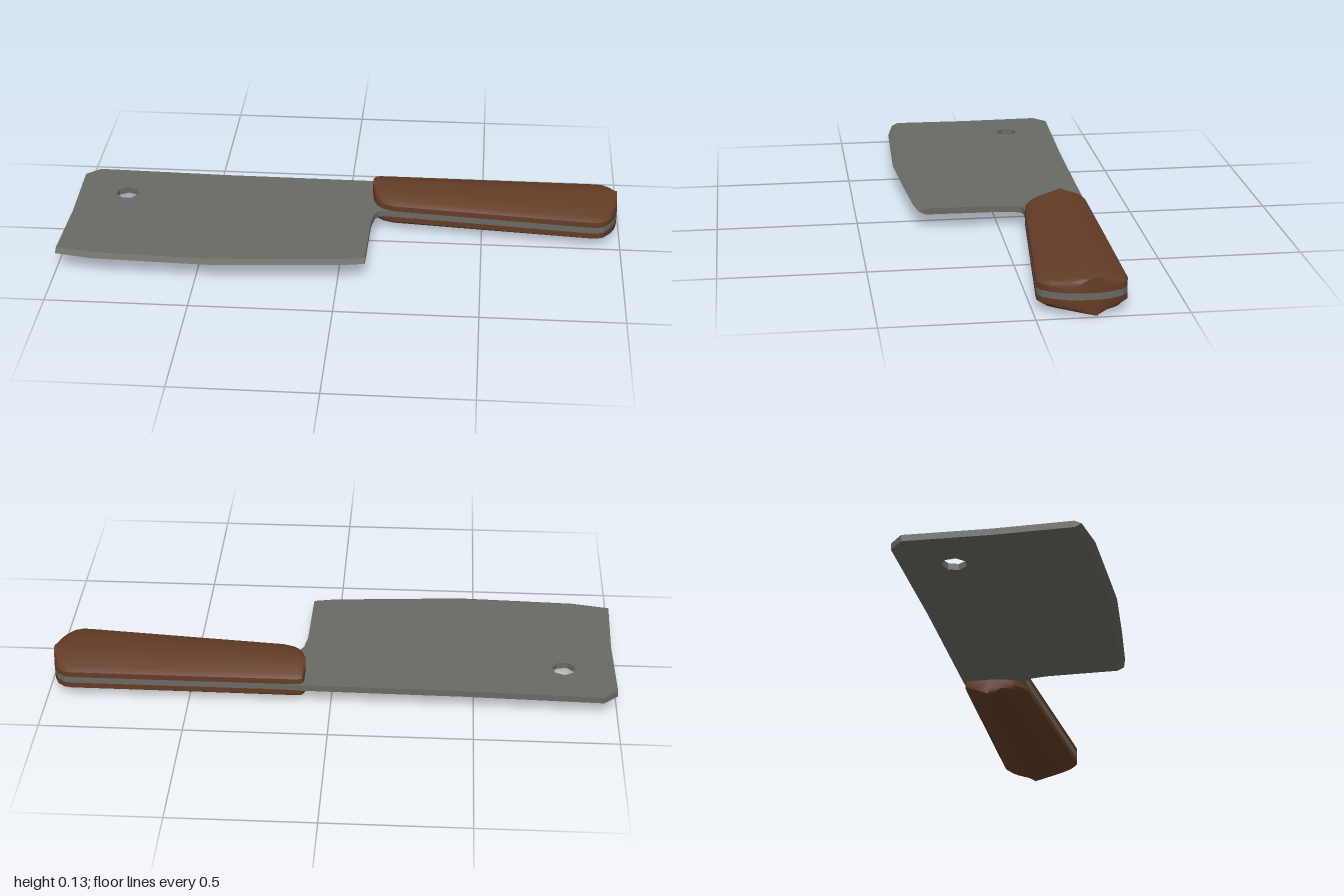
import * as THREE from 'three';
import { toCreasedNormals } from 'three/addons/utils/BufferGeometryUtils.js';

const MID = 0.069, HALF = 0.0115; // plane and half thickness of the steel

// Skin a row of convex rings (running along +x) and cap both ends
function loft(rings) {
  const n = rings[0].length, pos = [];
  const tri = (a, b, c) => pos.push(...a, ...b, ...c);
  for (let i = 0; i < rings.length - 1; i++) {
    for (let j = 0; j < n; j++) {
      const k = (j + 1) % n, p = rings[i], q = rings[i + 1];
      tri(p[j], p[k], q[k]);
      tri(p[j], q[k], q[j]);
    }
  }
  const first = rings[0], last = rings[rings.length - 1];
  for (let j = 1; j < n - 1; j++) {
    tri(first[0], first[j + 1], first[j]);
    tri(last[0], last[j], last[j + 1]);
  }
  const g = new THREE.BufferGeometry();
  g.setAttribute('position', new THREE.Float32BufferAttribute(pos, 3));
  g.computeVertexNormals();
  return g;
}

// Cutting edge: x, z of the sharp line
const EDGE = [[-1, 0.293], [-0.87, 0.318], [-0.66, 0.326], [-0.46, 0.333], [-0.2, 0.316], [0.03, 0.297], [0.095, 0.284]];
const BEVEL = 0.023;

// Grip in plan: x, back z, front z
const GRIP = [
  [0.094, -0.285, -0.215], [0.1, -0.303, -0.165], [0.115, -0.309, -0.125], [0.14, -0.31, -0.1],
  [0.18, -0.31, -0.084], [0.5, -0.31, -0.053], [0.88, -0.309, -0.016], [0.915, -0.309, -0.014],
  [0.94, -0.304, -0.025], [0.965, -0.283, -0.06], [0.982, -0.245, -0.1], [0.99, -0.205, -0.14],
];

// Blade and tang as one flat plate with a hanging hole
function bladeGeometry() {
  const outline = [
    [-1, -0.29], [-0.95, -0.335], [-0.47, -0.321], [0.1, -0.315],
    ...GRIP.slice(4).map(([x, b]) => [x, b]),
    ...GRIP.slice(4).reverse().map(([x, , f]) => [x, f]),
    [0.14, -0.086], [0.122, -0.081], [0.11, -0.06], [0.1, 0],
    ...EDGE.slice().reverse().map(([x, z]) => [x, z - BEVEL]),
    [-0.993, 0],
  ];
  const shape = new THREE.Shape(outline.map(([x, z]) => new THREE.Vector2(x, -z)));
  const hole = [];
  for (let i = 0; i < 7; i++) {
    const a = 1.65 + (i * 2 * Math.PI) / 7;
    hole.push(new THREE.Vector2(-0.817 + 0.042 * Math.cos(a), 0.154 + 0.042 * Math.sin(a)));
  }
  shape.holes.push(new THREE.Path(hole));
  const g = new THREE.ExtrudeGeometry(shape, { depth: 2 * HALF, bevelEnabled: false });
  return g.rotateX(-Math.PI / 2).translate(0, MID - HALF, 0);
}

// One wooden scale; side is 1 above the tang and -1 below
function scaleGeometry(side) {
  const rings = GRIP.map(([x, b, f]) => {
    const peak = Math.min(-0.2, Math.max(-0.222, b + (f - b) * 0.4));
    const front = f - peak, back = b - peak;
    const section = [
      [b, 0], [b, 0.02], [peak + back * 0.8, 0.034], [peak, 0.0555],
      [peak + front * 0.5, 0.046], [peak + front * 0.88, 0.033], [f, 0.02], [f, 0],
    ];
    const ring = section.map(([z, h]) => [x, MID + side * (HALF + h), z]);
    return side > 0 ? ring : ring.reverse();
  });
  return toCreasedNormals(loft(rings), 0.6);
}

export function createModel() {
  const steel = new THREE.MeshStandardMaterial({ color: 0x6a6a63 });
  steel.name = 'steel';
  const wood = new THREE.MeshStandardMaterial({ color: 0x643c26 });
  wood.name = 'wood';

  const model = new THREE.Group();
  model.name = 'cleaver';
  const add = (name, geometry, material) => {
    const mesh = new THREE.Mesh(geometry, material);
    mesh.name = name;
    model.add(mesh);
  };

  add('bladeAndTang', bladeGeometry(), steel);

  // Wedge ground along the front of the blade
  const wedge = EDGE.map(([x, z]) => [
    [x, MID + HALF, z - BEVEL], [x, MID, z], [x, MID - HALF, z - BEVEL],
  ]);
  add('cuttingEdge', toCreasedNormals(loft(wedge), 0.5), steel);

  add('upperHandleScale', scaleGeometry(1), wood);
  add('lowerHandleScale', scaleGeometry(-1), wood);
  return model;
}
